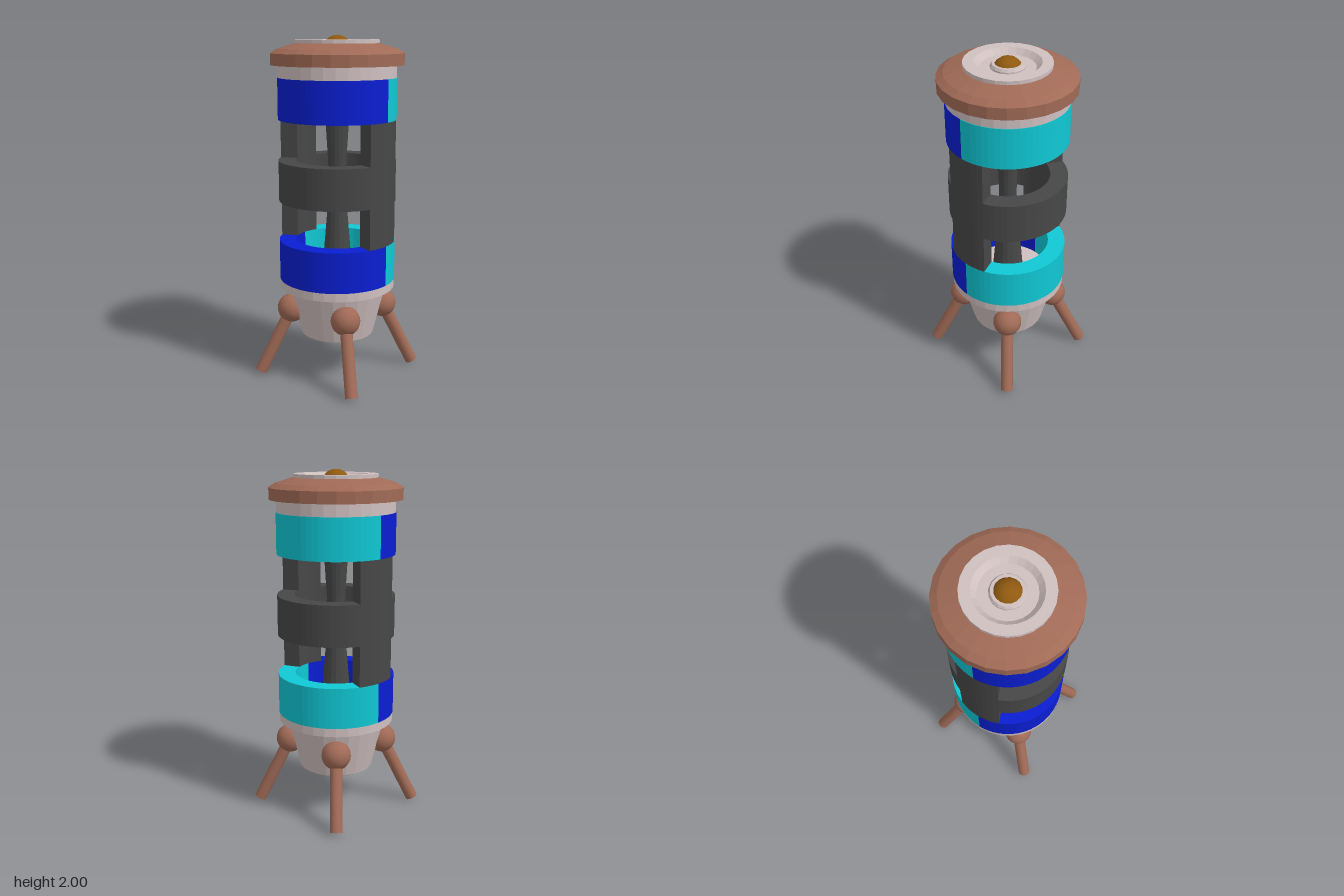
import * as THREE from 'three';

const mat = (color, flatShading = true) => new THREE.MeshStandardMaterial({ color, flatShading });
const white = mat(0xd0c0c0), brown = mat(0xa06a56), dark = mat(0x474747);
const blue = mat(0x0a1ed2), cyan = mat(0x10c8d4);
const brownSmooth = mat(0xa06a56, false), amber = mat(0x8f5a10, false);

export function createModel() {
  const model = new THREE.Group();

  const add = (name, geometry, material, parent = model) => {
    const mesh = new THREE.Mesh(geometry, material);
    mesh.name = name;
    parent.add(mesh);
    return mesh;
  };

  // Turned part from [radius, height] points, listed from the bottom axis outwards and up
  const turned = (name, points, material, sides = 32) =>
    add(name, new THREE.LatheGeometry(points.map(p => new THREE.Vector2(...p)), sides), material);

  // Ring sector with radial ends; degrees run from +x towards -z
  const sector = (name, y0, y1, from, to, material, inner = 0.24, outer = 0.34) => {
    const a = THREE.MathUtils.degToRad(from), b = THREE.MathUtils.degToRad(to);
    const shape = new THREE.Shape();
    shape.absarc(0, 0, outer, a, b, false);
    shape.absarc(0, 0, inner, b, a, true);
    const geometry = new THREE.ExtrudeGeometry(shape, {
      depth: y1 - y0, bevelEnabled: false, curveSegments: Math.round((to - from) / 11.25),
    });
    geometry.rotateX(-Math.PI / 2).translate(0, y0, 0);
    return add(name, geometry, material);
  };

  // Two-coloured bands
  for (const [label, y0, y1] of [['lower', 0.59, 0.825], ['upper', 1.53, 1.765]]) {
    sector(label + 'BandFront', y0, y1, 180, 360, blue);
    sector(label + 'BandBack', y0, y1, 0, 180, cyan);
  }

  // Dark frame: middle ring and two side posts
  sector('middleRingFront', 1.06, 1.295, 180, 360, dark);
  sector('middleRingBack', 1.06, 1.295, 0, 180, dark);
  for (const [y0, y1] of [[0.825, 1.06], [1.295, 1.53]]) {
    sector('leftPost', y0, y1, -22.5, 22.5, dark);
    sector('rightPost', y0, y1, 157.5, 202.5, dark);
  }

  // Waisted core column
  turned('coreColumn', [[0, 0.58], [0.095, 0.58], [0.074, 0.82], [0.054, 1.06], [0.05, 1.17],
    [0.054, 1.29], [0.069, 1.53], [0.085, 1.78], [0, 1.78]], dark, 16);

  // Collars at both ends of the body
  turned('lowerCollar', [[0, 0.54], [0.338, 0.54], [0.338, 0.59], [0, 0.59]], white);
  turned('upperCollar', [[0, 1.765], [0.338, 1.765], [0.338, 1.84], [0, 1.84]], white);

  // Hollow base nozzle with a glowing lens inside
  turned('baseNozzle', [[0, 0.34], [0.14, 0.34], [0.172, 0.237], [0.195, 0.237], [0.217, 0.25],
    [0.29, 0.54], [0, 0.54]], white, 24);
  const lens = add('baseLens', new THREE.SphereGeometry(0.12, 24, 16), amber);
  lens.position.y = 0.345;
  lens.scale.y = 0.4;

  // Cap with a dished plate, ring and dome
  turned('cap', [[0, 1.835], [0.379, 1.835], [0.379, 1.9], [0.34, 1.925], [0.24, 1.955], [0.2, 1.955],
    [0.18, 1.92], [0, 1.92]], brown, 24);
  turned('capPlate', [[0, 1.92], [0.238, 1.95], [0.238, 1.975], [0.18, 1.975], [0.15, 1.945],
    [0, 1.945]], white, 24);
  turned('domeRing', [[0.07, 1.94], [0.095, 1.94], [0.095, 1.953], [0.086, 1.967], [0.07, 1.967]], white, 16);
  add('capDome', new THREE.SphereGeometry(0.085, 16, 12), amber).position.y = 1.915;

  // Four splayed legs with ball joints
  for (const sx of [1, -1]) {
    for (const sz of [1, -1]) {
      const leg = new THREE.Group();
      leg.name = (sz > 0 ? 'front' : 'back') + (sx > 0 ? 'Left' : 'Right') + 'Leg';
      const top = new THREE.Vector3(sx * 0.195, 0.405, sz * 0.195);
      const foot = new THREE.Vector3(sx * 0.33, 0.016, sz * 0.33);
      const axis = top.clone().sub(foot);
      add('ballJoint', new THREE.SphereGeometry(0.085, 20, 14), brownSmooth, leg).position.copy(top);
      const rod = add('legRod', new THREE.CylinderGeometry(0.036, 0.036, axis.length(), 16), brownSmooth, leg);
      rod.position.copy(top).add(foot).multiplyScalar(0.5);
      rod.quaternion.setFromUnitVectors(new THREE.Vector3(0, 1, 0), axis.normalize());
      model.add(leg);
    }
  }

  return model;
}
